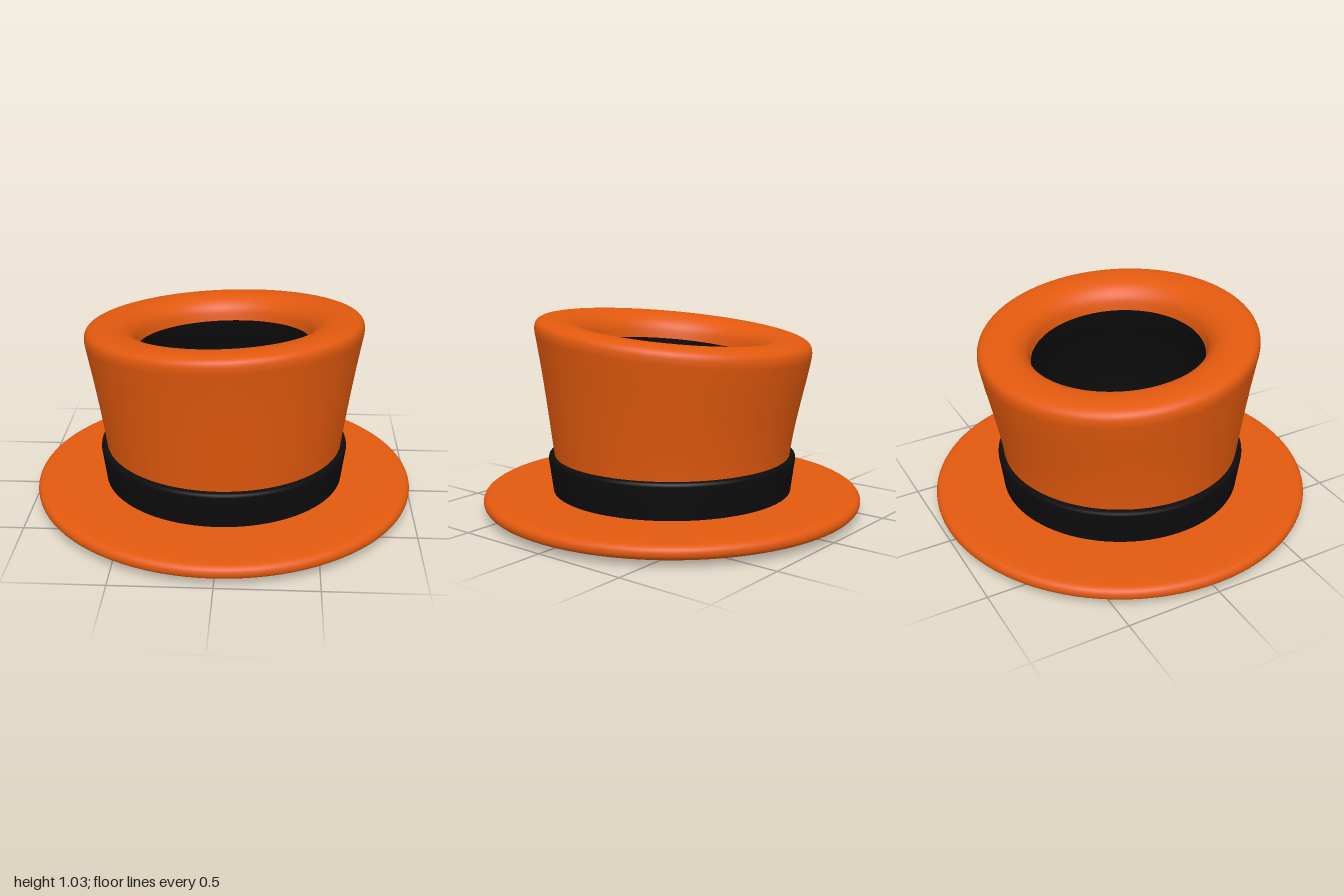
import * as THREE from 'three';
import { mergeVertices } from 'three/addons/utils/BufferGeometryUtils.js';

const toPoints = (list) => list.map(([r, y]) => new THREE.Vector2(r, y));
const smooth = (list, n = 48) => new THREE.SplineCurve(toPoints(list)).getPoints(n);

// The crown leans: its top rises to the front and left and sits slightly back.
function lean(geometry) {
  const p = geometry.attributes.position;
  for (let i = 0; i < p.count; i++) {
    const x = p.getX(i), y = p.getY(i), z = p.getZ(i);
    const w = THREE.MathUtils.smoothstep(y, 0.3, 0.9);
    p.setY(i, y + w * (0.045 * x + 0.08 * z));
    p.setZ(i, z - 0.01 * w);
  }
  return geometry;
}

// Surface of revolution with a seamless smooth skin.
function revolve(name, points, material, leaning = false) {
  let geometry = new THREE.LatheGeometry(points, 96);
  geometry.deleteAttribute('uv');
  geometry.deleteAttribute('normal');
  geometry = mergeVertices(geometry, 1e-4);
  if (leaning) lean(geometry);
  geometry.computeVertexNormals();
  const mesh = new THREE.Mesh(geometry, material);
  mesh.name = name;
  return mesh;
}

export function createModel() {
  const orange = new THREE.MeshStandardMaterial({ color: 0xe2590e });
  orange.name = 'orange felt';
  const black = new THREE.MeshStandardMaterial({ color: 0x0d0d0d });
  black.name = 'black fabric';

  const hat = new THREE.Group();
  hat.name = 'hat';

  // Brim: flat disc with a rounded edge and a soft inner lip underneath
  hat.add(revolve('brim', smooth([
    [0.56, 0.06], [0.585, 0.02], [0.65, 0.002], [0.8, 0.005], [0.92, 0.022],
    [0.985, 0.045], [1, 0.075], [0.985, 0.102], [0.94, 0.112], [0.8, 0.113], [0.6, 0.113],
  ]), orange));

  // Crown: flared wall that rolls over the rim into the opening
  hat.add(revolve('crown', smooth([
    [0.61, 0.1], [0.622, 0.28], [0.652, 0.5], [0.685, 0.7], [0.712, 0.85], [0.721, 0.91],
    [0.712, 0.947], [0.68, 0.967], [0.62, 0.974], [0.55, 0.966], [0.5, 0.942],
    [0.465, 0.9], [0.45, 0.84],
  ], 64), orange, true));

  // Lining: inside wall from the top opening down to the brim
  hat.add(revolve('lining', smooth([
    [0.45, 0.84], [0.465, 0.76], [0.51, 0.62], [0.54, 0.4], [0.555, 0.2], [0.56, 0.06],
  ], 32), black, true));

  // Band around the foot of the crown
  hat.add(revolve('band', toPoints([
    [0.632, 0.105], [0.644, 0.2], [0.655, 0.285], [0.653, 0.298], [0.645, 0.305], [0.615, 0.305],
  ]), black));

  return hat;
}
